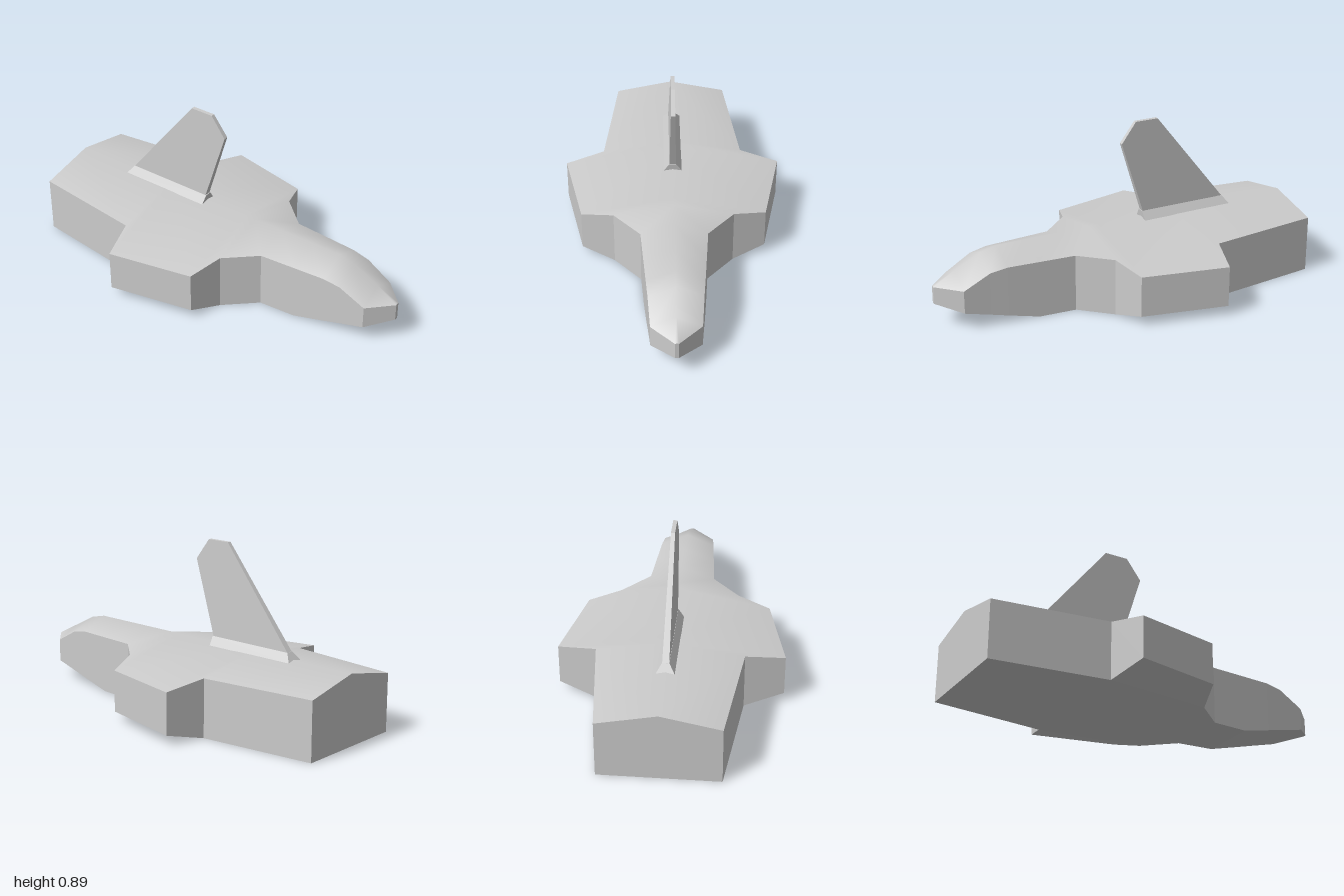
import * as THREE from 'three';

const material = new THREE.MeshStandardMaterial({ color: 0xcccccc });

// Hull stations: x, half width, side top y, side bottom y, ridge y, keel half width, keel y
const STATIONS = [
  [-1, 0.30, 0.30, 0, 0.362, 0.30, 0],
  [-0.405, 0.37, 0.30, 0, 0.362, 0.37, 0],
  [-0.348, 0.57, 0.264, 0.05, 0.362, 0.364, 0],
  [0.096, 0.476, 0.264, 0.05, 0.362, 0.316, 0],
  [0.153, 0.308, 0.30, 0, 0.362, 0.308, 0],
  [0.307, 0.17, 0.30, 0, 0.362, 0.17, 0],
  [0.50, 0.156, 0.30, 0, 0.362, 0.156, 0],
  [0.66, 0.144, 0.30, 0.038, 0.362, 0.144, 0.038],
  [0.75, 0.136, 0.284, 0.06, 0.341, 0.136, 0.06],
  [0.885, 0.125, 0.211, 0.092, 0.272, 0.125, 0.092],
  [1, 0.01, 0.211, 0.12, 0.213, 0.01, 0.12],
];

// Cross-section ring: ridge, down the +z side, across the keel, up the -z side
const RINGS = STATIONS.map(([x, w, top, low, ridge, kw, ky]) => [
  [x, ridge, 0], [x, top, w], [x, low, w], [x, ky, kw],
  [x, ky, -kw], [x, low, -w], [x, top, -w],
]);
const N = 7;

function indexedGeometry(index) {
  const geo = new THREE.BufferGeometry();
  geo.setAttribute('position', new THREE.Float32BufferAttribute(RINGS.flat(2), 3));
  geo.setIndex(index);
  return geo;
}

// Join neighbouring rings along the chosen ring segments
function skin(segments) {
  const index = [];
  for (let i = 0; i < RINGS.length - 1; i++) {
    for (const j of segments) {
      const k = (j + 1) % N;
      const a = i * N + j, b = a + N, d = i * N + k, c = d + N;
      if (j < 4) index.push(a, d, c, a, c, b);
      else index.push(a, d, b, d, c, b);
    }
  }
  return index;
}

function addMesh(group, name, geometry) {
  const mesh = new THREE.Mesh(geometry, material);
  mesh.name = name;
  group.add(mesh);
}

// Upright plate whose half thickness runs from t0 at y0 to t1 at y1
function taperedPlate(points, y0, t0, y1, t1) {
  const shape = new THREE.Shape(points.map(([x, y]) => new THREE.Vector2(x, y)));
  const geo = new THREE.ExtrudeGeometry(shape, { depth: 2, bevelEnabled: false });
  geo.translate(0, 0, -1);
  const p = geo.attributes.position;
  for (let i = 0; i < p.count; i++) {
    const t = THREE.MathUtils.mapLinear(p.getY(i), y0, y1, t0, t1);
    p.setZ(i, p.getZ(i) * t);
  }
  geo.computeVertexNormals();
  return geo;
}

export function createModel() {
  const model = new THREE.Group();
  model.name = 'spacecraft';

  // Smoothly shaded upper deck
  const deck = indexedGeometry(skin([0, 6]));
  deck.computeVertexNormals();
  addMesh(model, 'upperDeck', deck);

  // Faceted sides, stub wings, underside and end caps
  const lower = skin([1, 2, 3, 4, 5]);
  const last = (RINGS.length - 1) * N;
  for (let k = 1; k < N - 1; k++) {
    lower.push(0, k + 1, k);
    lower.push(last, last + k, last + k + 1);
  }
  const hull = indexedGeometry(lower).toNonIndexed();
  hull.computeVertexNormals();
  addMesh(model, 'hullSides', hull);

  // Tail fin and the fairing at its foot
  addMesh(model, 'finFairing', taperedPlate(
    [[-0.665, 0.35], [-0.155, 0.35], [-0.15, 0.396], [-0.63, 0.396]],
    0.36, 0.042, 0.396, 0.018));
  addMesh(model, 'tailFin', taperedPlate(
    [[-0.63, 0.395], [-0.155, 0.395], [-0.035, 0.78], [-0.115, 0.887], [-0.24, 0.887]],
    0.395, 0.017, 0.887, 0.01));

  return model;
}
